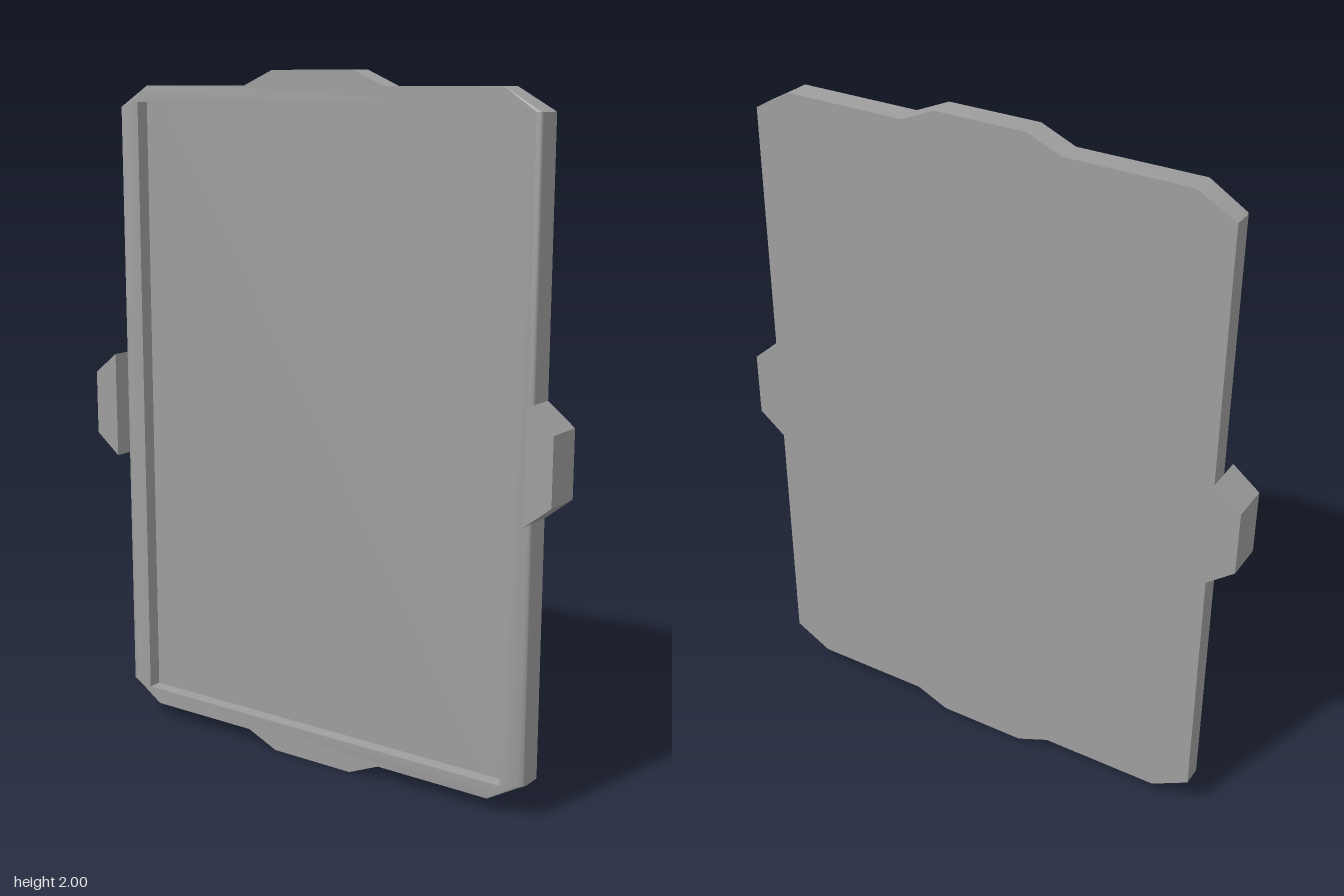
import * as THREE from 'three';
import { toCreasedNormals } from 'three/addons/utils/BufferGeometryUtils.js';

const material = new THREE.MeshStandardMaterial({ color: 0x9e9e9e });
const SIDE = 0.707; // half width of the panel
const BACK = -0.016; // x of the rim face
const ROUND = 0.018; // radius of the rim's long edges

// Extrudes a (z, y) outline along x, from x0 to x1
function plate(points, x0, x1, hole, steps = 1) {
  const toShape = ([z, y]) => new THREE.Vector2(-z, y);
  const shape = new THREE.Shape(points.map(toShape));
  if (hole) shape.holes.push(new THREE.Path(hole.map(toShape)));
  const geometry = new THREE.ExtrudeGeometry(shape, { depth: x1 - x0, steps, bevelEnabled: false });
  return geometry.rotateY(Math.PI / 2).translate(x0, 0, 0);
}

// Rounds the two long outer edges of the rim
function roundLongEdges(geometry) {
  const p = geometry.attributes.position;
  for (let i = 0; i < p.count; i++) {
    const t = ROUND - (p.getX(i) - BACK);
    const z = p.getZ(i);
    if (t > 0 && Math.abs(z) > SIDE - 0.001) {
      const inset = ROUND - Math.sqrt(Math.max(0, ROUND * ROUND - t * t));
      p.setZ(i, z - Math.sign(z) * inset);
    }
  }
  return geometry;
}

export function createModel() {
  const group = new THREE.Group();
  group.name = 'coverPanel';
  const add = (name, geometry) => {
    const mesh = new THREE.Mesh(toCreasedNormals(geometry, 0.6), material);
    mesh.name = name;
    group.add(mesh);
  };

  // Outline with cut corners and a shallow tab at top and bottom
  const upper = [[SIDE, 1.895], [0.595, 1.957], [0.235, 1.957], [0.135, 2]];
  const lower = upper.map(([z, y]) => [z, 2 - y]).reverse();
  const right = [...lower, ...upper];
  const outline = [...right, ...right.map(([z, y]) => [-z, y]).reverse()];

  // Solid sheet, and the raised rim around the recess on its inner face
  const recess = [[-0.633, 0.09], [-0.633, 1.91], [0.633, 1.91], [0.633, 0.09]];
  add('sheet', plate(outline, 0.025, 0.058));
  add('rim', roundLongEdges(plate(outline, BACK, 0.025, recess, 10)));

  // Tapered side lugs, deeper than the panel
  const lug = [[SIDE, 0.842], [0.787, 0.905], [0.787, 1.095], [SIDE, 1.158]];
  for (const s of [1, -1]) {
    add(s > 0 ? 'frontLug' : 'backLug', plate(lug.map(([z, y]) => [s * z, y]), -0.059, 0.058));
  }
  return group;
}
